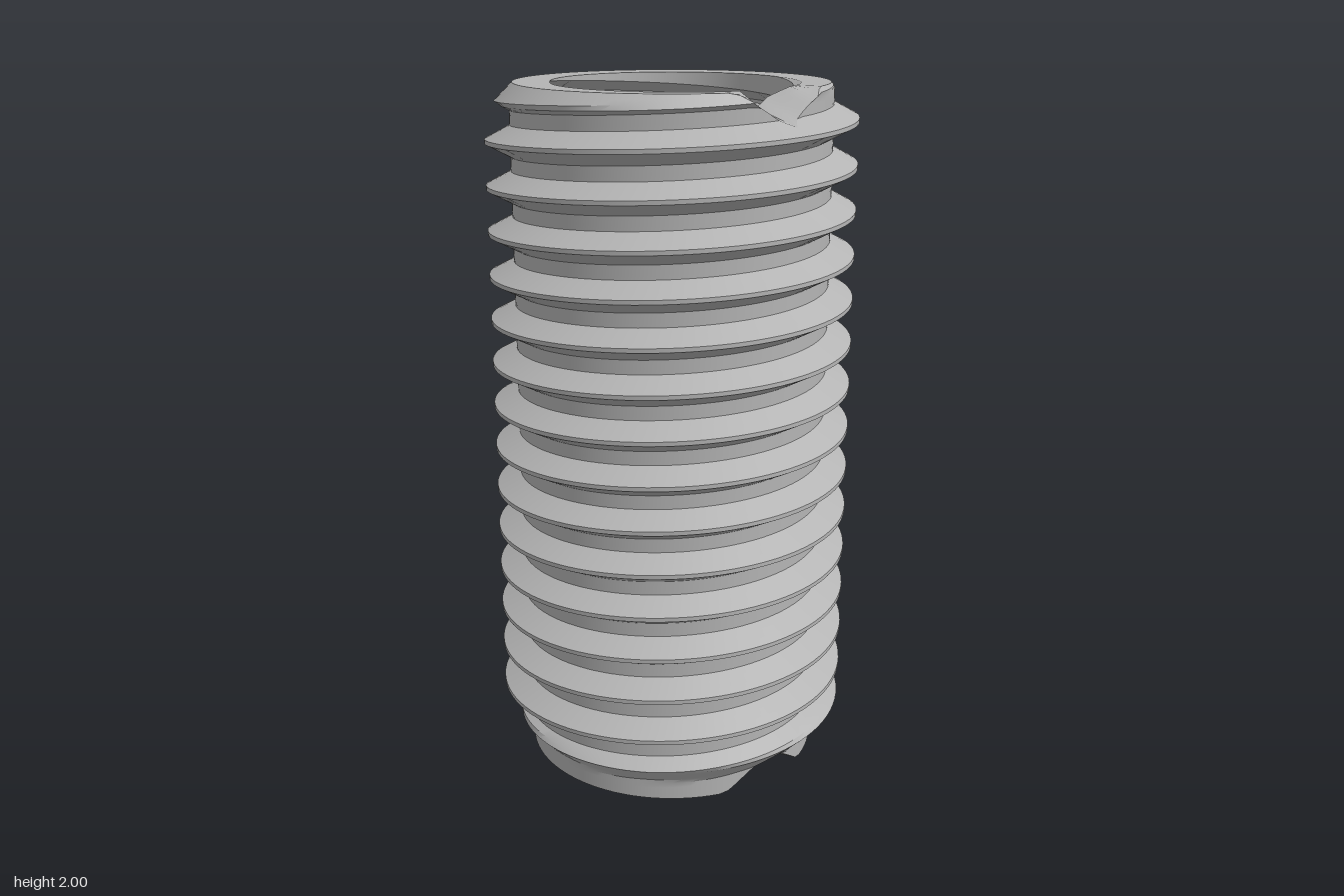
import * as THREE from 'three';
import { toCreasedNormals } from 'three/addons/utils/BufferGeometryUtils.js';

const SEG = 96;            // columns around the axis
const TAU = Math.PI * 2;
const PITCH = 0.126;
const HEIGHT = 2;
const SOCKET_TOP = 0.6;    // depth of the hexagonal drive
const BORE = 0.335;
const { clamp, lerp } = THREE.MathUtils;

// Distance along y from the nearest turn of a right-handed helix
function helixDistance(y, a, y0, a0) {
  const f = (y - y0) / PITCH - (a - a0) / TAU;
  return Math.abs(f - Math.round(f)) * PITCH;
}

// Outer thread, cut back by the chamfers at both ends
function outerRadius(y, a) {
  const d = helixDistance(y, a, 0.2, Math.PI);
  const thread = 0.45 + 0.07 * clamp((0.043 - d) / 0.037, 0, 1);
  const lower = 0.435 + Math.max(0, y - 0.06);
  const upper = 0.44 + (HEIGHT - y);
  return Math.min(thread, lower, upper);
}

// Inner thread: a V groove cut into the bore
const BORE_ANGLE = 290 * Math.PI / 180;
function innerRadius(y, a) {
  const d = helixDistance(y, a, HEIGHT, BORE_ANGLE);
  return BORE + 0.055 * clamp((0.035 - d) / 0.03, 0, 1);
}

// Hexagon with the given corner radius
function hexRadius(corner, a) {
  const step = Math.PI / 3;
  const t = (((a - Math.PI / 4) % step) + step) % step;
  return corner * Math.cos(step / 2) / Math.cos(t - step / 2);
}

// V notch through the wall, narrowing towards the bore
function notch(a, depth, halfWidthDeg) {
  const off = Math.abs(a * 180 / Math.PI - 315);
  return depth * Math.max(0, 1 - off / halfWidthDeg);
}
const topOuter = (a) => HEIGHT - notch(a, 0.09, 20);
const topInner = (a) => HEIGHT - notch(a, 0.05, 15);
const bottomOuter = (a) => notch(a, 0.1, 20);
const bottomInner = (a) => notch(a, 0.03, 15);

// Surface through rows around the axis; each row maps an angle to [radius, y]
function surface(rows) {
  const grid = rows.map((row) => {
    const line = [];
    for (let i = 0; i <= SEG; i++) {
      const a = (i / SEG) * TAU;
      const [r, y] = row(a);
      line.push(new THREE.Vector3(r * Math.cos(a), y, -r * Math.sin(a)));
    }
    return line;
  });
  const out = [];
  const e1 = new THREE.Vector3(), e2 = new THREE.Vector3();
  const tri = (p, q, s) => {
    e1.subVectors(q, p);
    e2.subVectors(s, p);
    if (e1.cross(e2).length() < 1e-9) return; // rows squeezed together at an end
    for (const v of [p, q, s]) out.push(v.x, v.y, v.z);
  };
  for (let k = 0; k + 1 < grid.length; k++) {
    for (let i = 0; i < SEG; i++) {
      const p = grid[k][i], q = grid[k][i + 1];
      const s = grid[k + 1][i + 1], t = grid[k + 1][i];
      tri(p, q, s);
      tri(p, s, t);
    }
  }
  const geo = new THREE.BufferGeometry();
  geo.setAttribute('position', new THREE.Float32BufferAttribute(out, 3));
  geo.scale(100, 100, 100); // keeps fine thread edges apart while creasing
  const creased = toCreasedNormals(geo, 0.5);
  creased.scale(0.01, 0.01, 0.01);
  return creased;
}

// Rows that climb with the helix, held between a lower and an upper edge
function threadRows(offsets, y0, a0, low, high, radius) {
  const rows = [];
  for (let n = -3; n <= 18; n++) {
    for (const o of offsets) {
      rows.push((a) => {
        const raw = (y0 % PITCH) + PITCH * (n + (a - a0) / TAU) + o;
        const y = clamp(raw, low(a), high(a));
        return [radius(y, a), y];
      });
    }
  }
  return rows;
}

export function createModel() {
  const steel = new THREE.MeshStandardMaterial({ color: 0xb4b4b4 });
  steel.name = 'steel grey';
  const group = new THREE.Group();
  group.name = 'threadedInsert';
  const add = (name, rows) => {
    const mesh = new THREE.Mesh(surface(rows), steel);
    mesh.name = name;
    group.add(mesh);
  };

  // Outside thread, from the bottom up
  add('outerThread', threadRows(
    [-0.043, -0.031, -0.018, -0.006, 0.006, 0.018, 0.031, 0.043, 0.056, 0.07],
    0.2, Math.PI, bottomOuter, topOuter, outerRadius));

  // Notched top rim, from the outer edge to the bore
  const rimRows = [];
  for (let k = 0; k <= 3; k++) {
    rimRows.push((a) => {
      const yo = topOuter(a), yi = topInner(a);
      return [lerp(outerRadius(yo, a), innerRadius(yi, a), k / 3), lerp(yo, yi, k / 3)];
    });
  }
  add('topRim', rimRows);

  // Bore thread, from the top down
  add('innerThread', threadRows(
    [-0.035, -0.02, -0.005, 0.005, 0.02, 0.035, 0.063],
    HEIGHT, BORE_ANGLE, () => SOCKET_TOP, topInner, innerRadius).reverse());

  // Ledge where the bore meets the hexagonal drive
  add('socketLedge', [
    (a) => [innerRadius(SOCKET_TOP, a), SOCKET_TOP],
    (a) => [hexRadius(0.29, a), SOCKET_TOP],
  ]);

  // Hexagonal drive with a chamfered mouth
  add('hexSocket', [
    (a) => [hexRadius(0.29, a), SOCKET_TOP],
    (a) => [hexRadius(0.29, a), 0.055],
    (a) => [hexRadius(0.314, a), bottomInner(a)],
  ]);

  // Notched bottom rim, from the hexagon to the outer edge
  const baseRows = [];
  for (let k = 0; k <= 3; k++) {
    baseRows.push((a) => {
      const yi = bottomInner(a), yo = bottomOuter(a);
      return [lerp(hexRadius(0.314, a), outerRadius(yo, a), k / 3), lerp(yi, yo, k / 3)];
    });
  }
  add('bottomRim', baseRows);

  return group;
}
